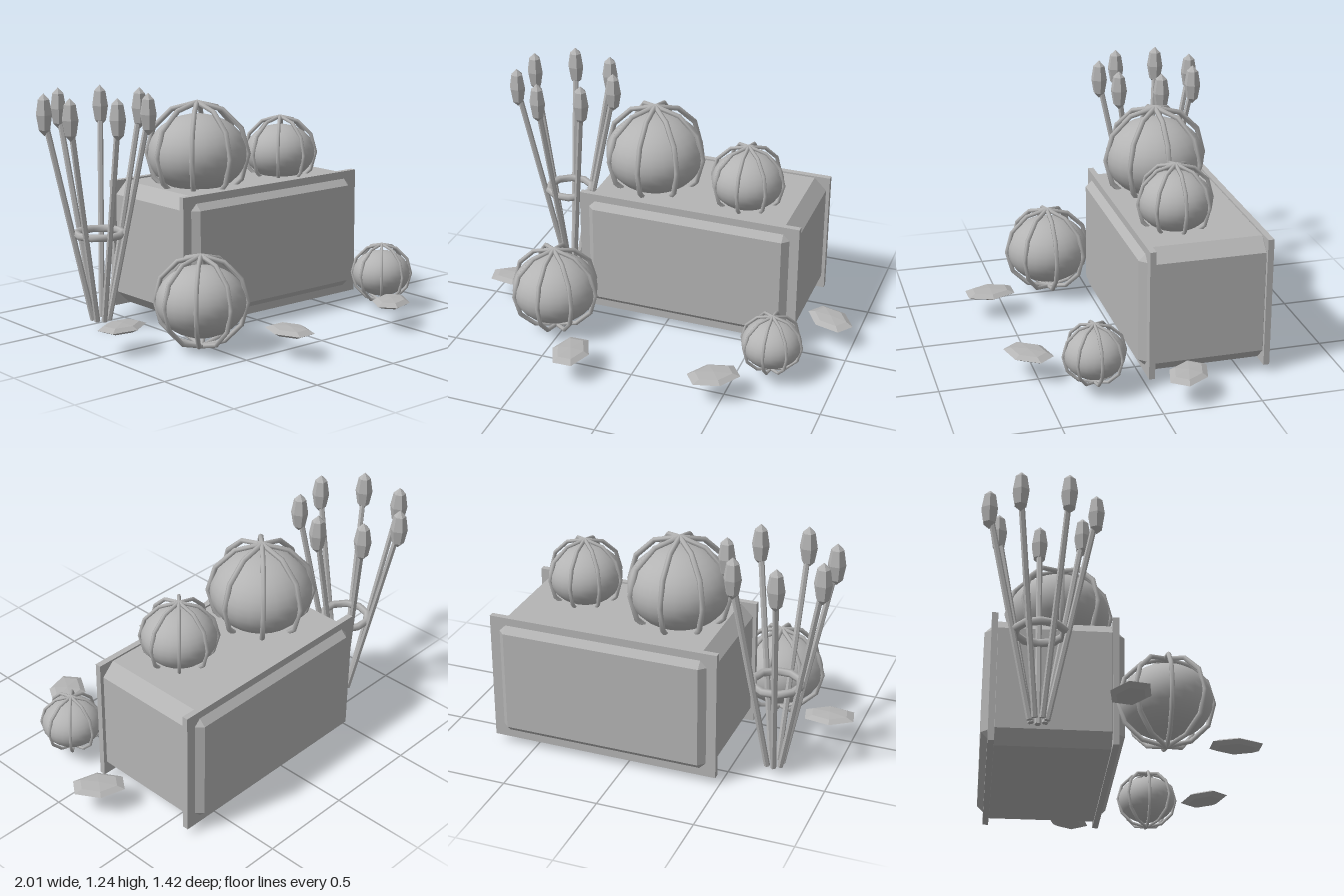
import * as THREE from 'three';
import { ConvexGeometry } from 'three/addons/geometries/ConvexGeometry.js';

export function createModel() {
  const group = new THREE.Group();
  const grey = new THREE.MeshStandardMaterial({ color: 0xb4b4b4 });

  const add = (parent, name, geometry, x = 0, y = 0, z = 0) => {
    const mesh = new THREE.Mesh(geometry, grey);
    mesh.name = name;
    mesh.position.set(x, y, z);
    parent.add(mesh);
    return mesh;
  };
  const addGroup = (name, x, y, z) => {
    const g = new THREE.Group();
    g.name = name;
    g.position.set(x, y, z);
    group.add(g);
    return g;
  };
  const faceted = (geometry) => {
    const g = geometry.toNonIndexed();
    g.computeVertexNormals();
    return g;
  };

  // Box with all twelve edges cut at 45 degrees
  const chamferedBox = (w, h, d, c) => {
    const points = [];
    for (const sx of [-1, 1]) for (const sy of [-1, 1]) for (const sz of [-1, 1]) {
      const [x, y, z] = [w / 2, h / 2, d / 2];
      points.push(
        new THREE.Vector3(sx * x, sy * (y - c), sz * (z - c)),
        new THREE.Vector3(sx * (x - c), sy * y, sz * (z - c)),
        new THREE.Vector3(sx * (x - c), sy * (y - c), sz * z));
    }
    return new ConvexGeometry(points);
  };

  // Crate with a flat frame plate near the front and the back
  const crate = addGroup('crate', 0.12, 0.382, -0.324);
  add(crate, 'crateBody', chamferedBox(1.164, 0.664, 0.696, 0.066));
  for (const side of [1, -1]) {
    add(crate, side > 0 ? 'frontFrame' : 'backFrame',
      new THREE.BoxGeometry(1.2, 0.68, 0.031), 0, 0, side * 0.299);
  }

  // Gourds: a squashed smooth ball in a cage of four upright hoops
  const gourd = (name, x, y, z, r) => {
    const g = addGroup(name, x, y, z);
    add(g, 'gourdBody', new THREE.SphereGeometry(r * 0.93, 24, 16)).scale.y = 0.79;
    for (let i = 0; i < 4; i++) {
      const rib = new THREE.TorusGeometry(r * 0.95, r * 0.05, 6, 12);
      add(g, 'gourdRib', rib).rotation.y = i * Math.PI / 4;
    }
  };
  gourd('largeTopGourd', -0.16, 0.878, -0.292, 0.281);
  gourd('smallTopGourd', 0.372, 0.833, -0.239, 0.203);
  gourd('largeFloorGourd', -0.544, 0.246, 0.208, 0.243);
  gourd('smallFloorGourd', 0.67, 0.198, 0.255, 0.166);

  // Fallen leaves: flat six-sided lenses; [x, z, long axis x, long axis z]
  const leafGeometry = faceted(new THREE.SphereGeometry(1, 6, 4));
  for (const [x, z, dx, dz] of [
    [-0.877, 0.002, 0.975, -0.22], [0.87, -0.164, 0.8, 0.6],
    [-0.297, 0.586, 0.03, 1], [0.455, 0.538, 0.8, -0.6],
  ]) {
    const leaf = add(group, 'leaf', leafGeometry, x, 0.133, z);
    leaf.scale.set(0.099, 0.023, 0.144);
    leaf.rotation.y = Math.atan2(dx, dz);
  }

  // Sheaf: seven stalks fanning out, each with a bud, tied by a ring
  const sheaf = addGroup('sheaf', -0.711, 0, -0.411);
  const budGeometry = faceted(new THREE.SphereGeometry(1, 6, 4));
  const up = new THREE.Vector3(0, 1, 0);
  for (let i = 0; i < 7; i++) {
    const a = i * Math.PI * 2 / 7;
    const at = (r, y) => new THREE.Vector3(Math.cos(a) * r, y, Math.sin(a) * r);
    const low = at(0.042, 0.05), high = at(0.267, 1.12);
    const span = high.clone().sub(low);
    const mid = low.clone().add(high).multiplyScalar(0.5);
    const stalk = add(sheaf, 'stalk',
      faceted(new THREE.CylinderGeometry(0.015, 0.015, span.length(), 6)), mid.x, mid.y, mid.z);
    stalk.quaternion.setFromUnitVectors(up, span.normalize());
    const bud = add(sheaf, 'bud', budGeometry, high.x, 1.13, high.z);
    bud.scale.set(0.045, 0.108, 0.045);
  }
  const tie = add(sheaf, 'tieRing', new THREE.TorusGeometry(0.121, 0.02, 6, 10), 0, 0.507, 0);
  tie.rotation.x = Math.PI / 2;

  return group;
}
